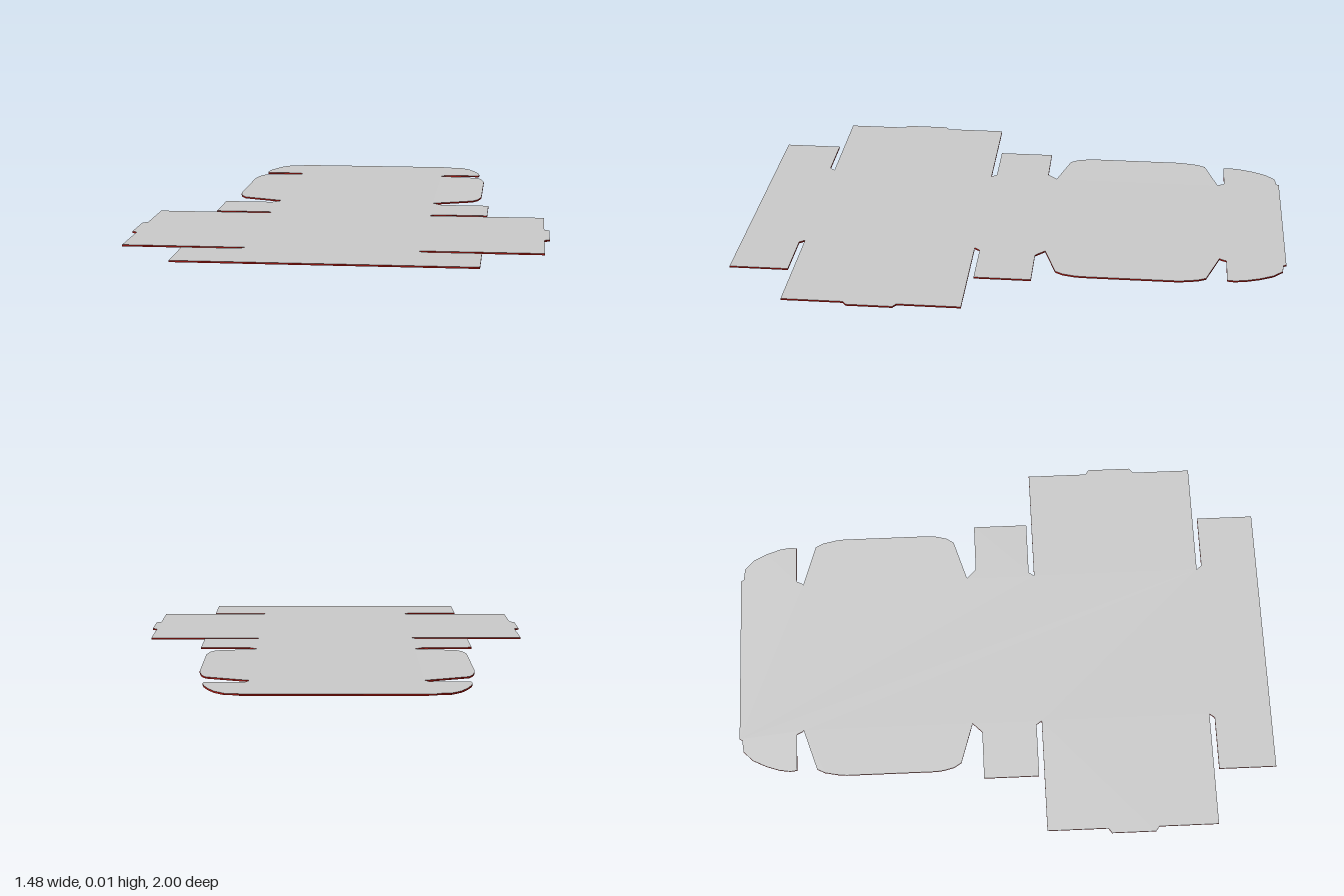
import * as THREE from 'three';

const THICK = 0.006, FOLD = 0.295;

const printed = new THREE.MeshStandardMaterial({ color: 0x0a0066 });
const plain = new THREE.MeshStandardMaterial({ color: 0xcccccc });
const cutEdge = new THREE.MeshStandardMaterial({ color: 0xb01810 });

// Sheet of card from [x, z] corners: printed below, plain on top, coloured cut edge.
function sheet(name, corners) {
  const shape = new THREE.Shape(corners.map(([x, z]) => new THREE.Vector2(x, -z)));
  const geo = new THREE.ExtrudeGeometry(shape, { depth: THICK, bevelEnabled: false });
  const caps = geo.groups[0].count, walls = geo.groups[1].count;
  geo.clearGroups();
  geo.addGroup(0, caps / 2, 0);
  geo.addGroup(caps / 2, caps / 2, 1);
  geo.addGroup(caps, walls, 2);
  geo.rotateX(-Math.PI / 2);
  const mesh = new THREE.Mesh(geo, [printed, plain, cutEdge]);
  mesh.name = name;
  return mesh;
}

export function createModel() {
  const group = new THREE.Group();
  group.name = 'flatBoxBlank';

  // Right half of the blank, from the tuck tab at the back to the front wall
  const half = [
    // tuck tab
    [0.32, -1], [0.325, -0.99], [0.37, -0.985], [0.405, -0.95], [0.43, -0.9],
    [0.447, -0.85], [0.453, -0.81], [0.45, -0.785], [0.31, -0.785], [0.3, -0.765],
    // lid fold lines
    [FOLD, -0.76], [FOLD, -0.125],
    // back wall with its side flap
    [0.33, -0.09], [0.51, -0.09], [0.51, 0.115], [0.31, 0.115], [FOLD, 0.135],
    // base with double side wall and locking tab
    [0.72, 0.135], [0.72, 0.36], [0.738, 0.372], [0.738, 0.535], [0.72, 0.548],
    [0.72, 0.768], [FOLD, 0.768],
    // front wall with its side flap
    [0.31, 0.787], [0.51, 0.787], [0.51, 1],
  ];
  const mirrored = half.map(([x, z]) => [-x, z]).reverse();
  group.add(sheet('boxBlank', [...half, ...mirrored]));

  // Rounded lid ears, sprung up slightly along their folds
  const ear = [
    [0, -0.76], [0.155, -0.71], [0.17, -0.68], [0.18, -0.63], [0.183, -0.6],
    [0.183, -0.27], [0.18, -0.24], [0.17, -0.2], [0.152, -0.172], [0, -0.125],
  ];
  for (const side of [1, -1]) {
    const flap = sheet(side > 0 ? 'lidEarLeft' : 'lidEarRight', ear.map(([x, z]) => [side * x, z]));
    flap.position.x = side * FOLD;
    flap.rotation.z = side * 0.02;
    group.add(flap);
  }
  return group;
}
